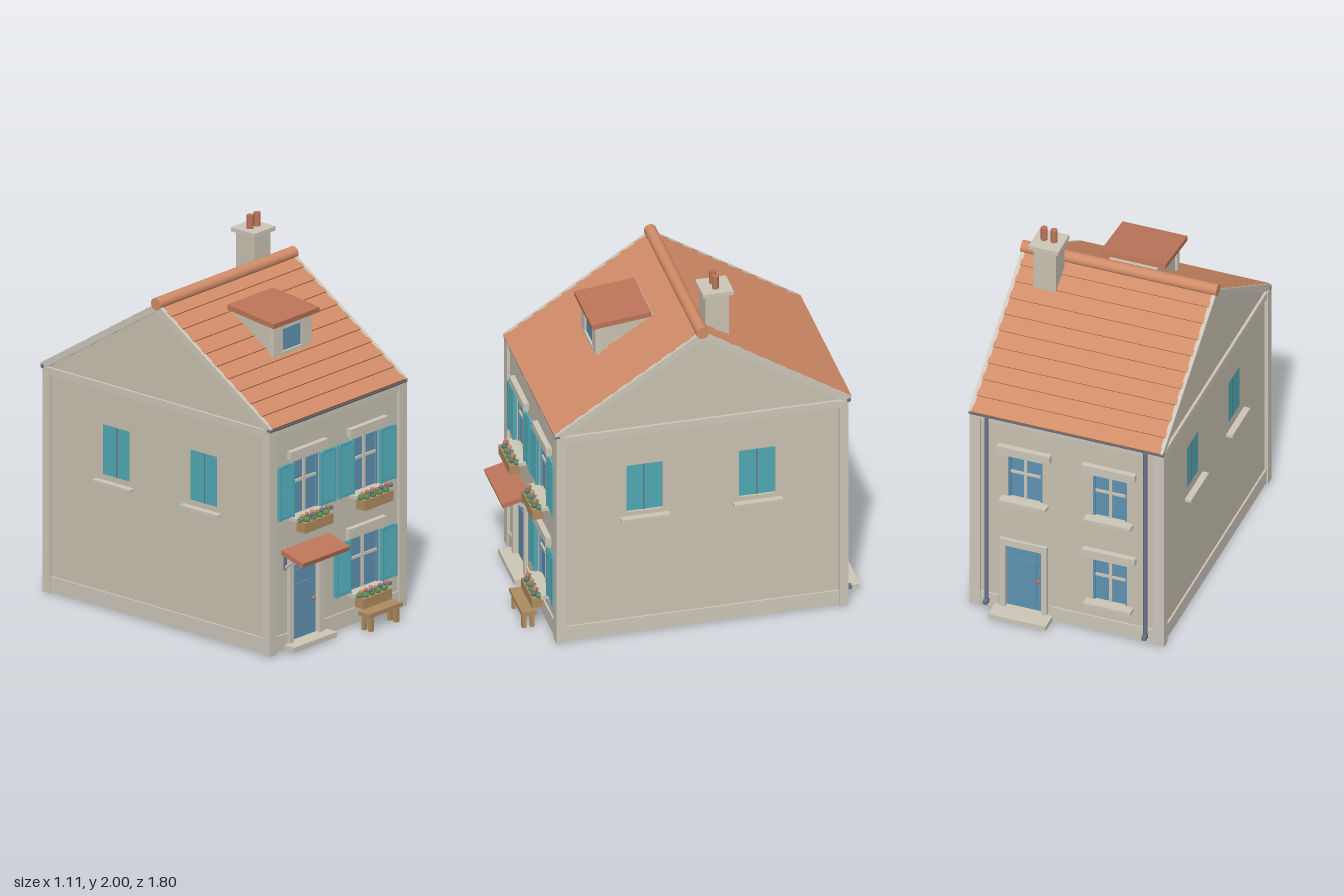
import * as THREE from 'three';

const mat = (name, color, extra) => Object.assign(new THREE.MeshStandardMaterial({ color }), { name });
const M = {
  wall: mat('wall plaster', 0xc9c2b2),
  stone: mat('pale stone', 0xcdc7b9),
  tile: mat('roof tile', 0xd18c68),
  clay: mat('dark clay', 0xbd755a),
  teal: mat('teal paint', 0x50a9b5),
  blue: mat('blue paint', 0x5f92b2),
  wood: mat('wood', 0xb08c60),
  slate: mat('slate metal', 0x6a7488),
  green: mat('leaf green', 0x5c8f5c),
};

function add(parent, name, geo, material, x = 0, y = 0, z = 0, rx = 0) {
  const m = new THREE.Mesh(geo, material);
  m.name = name;
  m.position.set(x, y, z);
  m.rotation.x = rx;
  parent.add(m);
  return m;
}
// Box given by its limits on each axis
const box = (p, name, material, x0, x1, y0, y1, z0, z1) =>
  add(p, name, new THREE.BoxGeometry(x1 - x0, y1 - y0, z1 - z0), material, (x0 + x1) / 2, (y0 + y1) / 2, (z0 + z1) / 2);
const group = (p, name) => {
  const g = new THREE.Group();
  g.name = name;
  p.add(g);
  return g;
};
const rod = (p, name, material, r, len, x, y, z, seg = 12) =>
  add(p, name, new THREE.CylinderGeometry(r, r, len, seg), material, x, y, z);

const FRONT = 0.745, BACK = -0.79, SIDE = 0.52, SKIN = 0.025;
const EAVE = 1.235, APEX = 1.735, RIDGE_Z = -0.02, BASE = 0.01;

// Wall panel with rectangular openings; its outer face lies at local z = 0
function wallPanel(p, outline, openings) {
  const shape = new THREE.Shape(outline.map(([x, y]) => new THREE.Vector2(x, y)));
  for (const [x, y0, y1, w] of openings) {
    const h = new THREE.Path();
    h.moveTo(x - w / 2, y0).lineTo(x - w / 2, y1).lineTo(x + w / 2, y1).lineTo(x + w / 2, y0).closePath();
    shape.holes.push(h);
  }
  add(p, 'wallPanel', new THREE.ExtrudeGeometry(shape, { depth: SKIN, bevelEnabled: false }), M.wall, 0, 0, -SKIN);
}

// Glazed window with cross bars, sill and lintel
function windowUnit(p, [x, y0, y1, w]) {
  const g = group(p, 'window');
  const a = x - w / 2, b = x + w / 2, bar = y0 + (y1 - y0) * 0.61;
  box(g, 'glass', M.blue, a, b, y0, y1, -SKIN, -0.016);
  box(g, 'verticalBar', M.stone, x - 0.008, x + 0.008, y0, y1, -0.018, -0.006);
  box(g, 'horizontalBar', M.stone, a, b, bar - 0.007, bar + 0.007, -0.018, -0.007);
  for (const s of [a + 0.006, b - 0.006]) box(g, 'sash', M.blue, s - 0.006, s + 0.006, y0, y1, -0.018, -0.005);
  box(g, 'sill', M.stone, x - 0.13, x + 0.13, y0 - 0.02, y0, -0.01, 0.05);
  box(g, 'headTrim', M.stone, x - w / 2 - 0.02, x + w / 2 + 0.02, y1 + 0.005, y1 + 0.022, -0.01, 0.012);
  box(g, 'lintel', M.stone, x - 0.147, x + 0.147, y1 + 0.027, y1 + 0.07, -0.01, 0.03);
  return g;
}

// Pair of open louvred shutters
function shutters(g, [x, y0, y1, w]) {
  const sw = 0.115, n = 6, step = (y1 - y0 - 0.03) / n;
  for (const s of [-1, 1]) {
    const cx = x + s * (w / 2 + sw / 2 + 0.003);
    box(g, 'shutter', M.teal, cx - sw / 2, cx + sw / 2, y0, y1, 0, 0.012);
    for (const e of [-1, 1]) box(g, 'shutterStile', M.teal, cx + e * 0.051 - 0.006, cx + e * 0.051 + 0.006, y0, y1, 0, 0.021);
    for (let i = 0; i < n; i++)
      add(g, 'louvre', new THREE.BoxGeometry(0.09, step * 0.9, 0.008), M.teal, cx, y0 + 0.015 + (i + 0.5) * step, 0.014, -0.15);
  }
}

// Planter below a window, with leaves and blossoms
function planter(g, [x, y0]) {
  const top = y0 - 0.02, leaf = new THREE.IcosahedronGeometry(0.017, 1), bloom = new THREE.IcosahedronGeometry(0.012, 1);
  box(g, 'planter', M.wood, x - 0.112, x + 0.112, top - 0.055, top, 0.035, 0.095);
  const blooms = [M.tile, M.clay, M.slate];
  for (let i = 0; i < 9; i++) {
    const px = x - 0.1 + i * 0.025;
    add(g, 'leaves', leaf, M.green, px, top + 0.01, 0.055 + (i % 2) * 0.02);
    add(g, 'blossom', bloom, blooms[i % 3], px + 0.008, top + 0.03 + (i % 2) * 0.006, 0.062 + (i % 3) * 0.01);
  }
}

// Panelled door with surround, knob and step
function door(p, [x, y0, y1, w], stepWidth, stepDepth) {
  const g = group(p, 'door');
  const a = x - w / 2, b = x + w / 2;
  box(g, 'doorLeaf', M.blue, a, b, y0, y1, -SKIN, -0.012);
  for (const [c, d] of [[0.06, 0.34], [0.36, 0.42]]) box(g, 'doorPanel', M.blue, a + 0.035, b - 0.035, c, d, -0.015, -0.006);
  for (const s of [-1, 1]) {
    const e = x + s * (w / 2 + 0.015);
    box(g, 'doorJamb', M.stone, e - 0.016, e + 0.016, BASE, y1, -0.01, 0.018);
  }
  box(g, 'doorHead', M.stone, a - 0.031, b + 0.031, y1, y1 + 0.04, -0.01, 0.018);
  add(g, 'doorKnob', new THREE.SphereGeometry(0.011, 12, 8), M.clay, b - 0.025, 0.23, -0.002);
  box(g, 'doorStep', M.stone, x - stepWidth / 2, x + stepWidth / 2, 0.01, 0.038, -0.01, stepDepth);
}

// Group facing outwards on one side of the house
function face(p, name, x, z, turn) {
  const g = group(p, name);
  g.position.set(x, 0, z);
  g.rotation.y = turn;
  return g;
}

export function createModel() {
  const house = new THREE.Group();
  house.name = 'house';

  // Solid core behind the wall panels
  const core = new THREE.Shape();
  core.moveTo(-FRONT + SKIN, BASE).lineTo(-BACK - SKIN, BASE).lineTo(-BACK - SKIN, EAVE).lineTo(-RIDGE_Z, APEX - 0.02).lineTo(-FRONT + SKIN, EAVE);
  const coreGeo = new THREE.ExtrudeGeometry(core, { depth: 2 * (SIDE - SKIN), bevelEnabled: false });
  coreGeo.translate(0, 0, -SIDE + SKIN).rotateY(Math.PI / 2);
  add(house, 'core', coreGeo, M.wall);

  // Front and back walls
  const e = SIDE - SKIN + 0.002;
  const rect = [[-e, BASE], [e, BASE], [e, EAVE], [-e, EAVE]];
  const front = face(house, 'frontWall', 0, FRONT, 0);
  const frontWindows = [[-0.238, 0.725, 1.02, 0.205], [0.232, 0.725, 1.02, 0.205], [0.222, 0.188, 0.475, 0.24]];
  const frontDoor = [-0.248, 0.035, 0.46, 0.205];
  wallPanel(front, rect, [...frontWindows, frontDoor]);
  for (const w of frontWindows) {
    const g = windowUnit(front, w);
    shutters(g, w);
    planter(g, w);
  }
  door(front, frontDoor, 0.335, 0.08);

  const back = face(house, 'backWall', 0, BACK, Math.PI);
  const backWindows = [[-0.235, 0.74, 1.0, 0.19], [0.235, 0.74, 1.0, 0.19], [0.235, 0.2, 0.46, 0.19]];
  const backDoor = [-0.24, 0.035, 0.43, 0.2];
  wallPanel(back, rect, [...backWindows, backDoor]);
  backWindows.forEach((w) => windowUnit(back, w));
  door(back, backDoor, 0.32, 0.11);

  // Side walls with gables and closed shutters
  for (const s of [1, -1]) {
    const side = face(house, s > 0 ? 'leftWall' : 'rightWall', s * SIDE, 0, s * Math.PI / 2);
    const f = -s * FRONT, b = -s * BACK;
    const openings = [[-s * 0.285, 0.73, 1.01, 0.195], [s * 0.318, 0.73, 1.01, 0.195]];
    wallPanel(side, [[f, BASE], [b, BASE], [b, EAVE], [-s * RIDGE_Z, APEX], [f, EAVE]], openings);
    for (const [x, y0, y1, w] of openings) {
      box(side, 'sideShutters', M.teal, x - w / 2, x + w / 2, y0, y1, -SKIN, -0.014);
      box(side, 'shutterGap', M.slate, x - 0.004, x + 0.004, y0, y1, -0.02, -0.012);
      box(side, 'sideSill', M.stone, x - 0.13, x + 0.13, y0 - 0.04, y0 - 0.024, -0.01, 0.035);
    }
  }

  // Corner posts, plinth and string course
  for (const x of [-0.51, 0.51]) for (const z of [0.738, -0.778])
    box(house, 'cornerPost', M.stone, x - 0.03, x + 0.03, 0.005, 1.24, z - 0.024, z + 0.024);
  for (const s of [-1, 1]) {
    box(house, 'sidePlinth', M.stone, s * 0.52 - 0.01, s * 0.52 + 0.01, BASE, 0.095, BACK, FRONT);
    box(house, 'sideCourse', M.stone, s * 0.52 - 0.015, s * 0.52 + 0.015, 1.2, 1.24, BACK, FRONT);
  }
  for (const [a, b] of [[-0.5, -0.39], [-0.11, 0.5]]) box(house, 'frontPlinth', M.stone, a, b, BASE, 0.095, FRONT - 0.01, FRONT + 0.009);
  for (const [a, b] of [[-0.5, 0.1], [0.38, 0.5]]) box(house, 'backPlinth', M.stone, a, b, BASE, 0.095, BACK - 0.009, BACK + 0.01);
  for (const z of [FRONT, BACK]) box(house, 'eaveCourse', M.stone, -0.5, 0.5, 1.2, 1.24, z - 0.01, z + 0.012);

  // Roof slopes with overlapping tile courses, verges and gutters
  const roof = group(house, 'roof');
  for (const s of [1, -1]) {
    const run = s > 0 ? 0.78 : 0.79, rise = 0.505, rows = 10;
    const len = Math.hypot(run, rise), angle = Math.atan2(rise, run);
    for (let i = 0; i < rows; i++) {
      const t = (i + 0.5) / rows;
      add(roof, 'tileCourse', new THREE.BoxGeometry(1.046, 0.02, (len / rows) * 1.12), M.tile,
        0, 1.752 - t * rise, RIDGE_Z + s * t * run, s * (angle - 0.08));
    }
    for (const x of [-0.528, 0.528])
      add(roof, 'verge', new THREE.BoxGeometry(0.022, 0.036, len), M.stone, x, 1.744 - rise / 2, RIDGE_Z + s * run / 2, s * angle);
    const eaveZ = RIDGE_Z + s * (run - 0.006);
    rod(roof, 'gutter', M.slate, 0.012, 1.08, 0, 1.24, eaveZ).rotation.z = Math.PI / 2;
  }
  rod(roof, 'ridge', M.tile, 0.033, 1.085, 0, 1.762, RIDGE_Z, 20).rotation.z = Math.PI / 2;

  // Downpipes at the back
  for (const x of [-0.44, 0.44]) {
    rod(house, 'downpipe', M.slate, 0.011, 1.18, x, 0.645, -0.815);
    box(house, 'downpipeFoot', M.slate, x - 0.012, x + 0.012, 0.045, 0.068, -0.842, -0.805);
  }

  // Dormer
  const dormer = group(house, 'dormer');
  box(dormer, 'dormerBody', M.wall, -0.135, 0.13, 1.46, 1.665, 0.1, 0.435);
  box(dormer, 'dormerGlass', M.blue, -0.08, 0.073, 1.49, 1.615, 0.43, 0.44);
  for (const [a, b] of [[-0.15, -0.078], [0.072, 0.146]]) box(dormer, 'dormerJamb', M.stone, a, b, 1.475, 1.64, 0.42, 0.45);
  box(dormer, 'dormerHead', M.stone, -0.08, 0.075, 1.612, 1.64, 0.42, 0.45);
  box(dormer, 'dormerSill', M.stone, -0.1, 0.095, 1.472, 1.49, 0.42, 0.453);
  add(dormer, 'dormerRoof', new THREE.BoxGeometry(0.36, 0.028, 0.322), M.clay, -0.003, 1.676, 0.318, 0.11);

  // Chimney
  const chimney = group(house, 'chimney');
  box(chimney, 'chimneyStack', M.wall, 0.29, 0.415, 1.6, 1.905, -0.195, -0.068);
  box(chimney, 'chimneyCap', M.stone, 0.27, 0.435, 1.903, 1.926, -0.215, -0.05);
  for (const x of [0.325, 0.38]) rod(chimney, 'chimneyPot', M.clay, 0.018, 0.08, x, 1.96, -0.13, 16);

  // Door canopy on two brackets
  const canopy = group(house, 'canopy');
  add(canopy, 'canopyRoof', new THREE.BoxGeometry(0.37, 0.026, 0.155), M.clay, -0.245, 0.527, 0.82, 0.26);
  for (const x of [-0.405, -0.085]) {
    add(canopy, 'bracketStrut', new THREE.BoxGeometry(0.014, 0.014, 0.095), M.stone, x, 0.484, 0.782, -0.72);
    box(canopy, 'bracketPost', M.slate, x - 0.007, x + 0.007, 0.445, 0.53, 0.742, 0.757);
  }

  // Bench
  const bench = group(house, 'bench');
  box(bench, 'benchSeat', M.wood, 0.092, 0.352, 0.082, 0.104, 0.818, 0.898);
  for (const x of [0.122, 0.322]) for (const z of [0.836, 0.88]) box(bench, 'benchLeg', M.wood, x - 0.012, x + 0.012, 0, 0.084, z - 0.011, z + 0.011);
  box(bench, 'benchRail', M.wood, 0.12, 0.324, 0.062, 0.08, 0.852, 0.864);
  return house;
}
